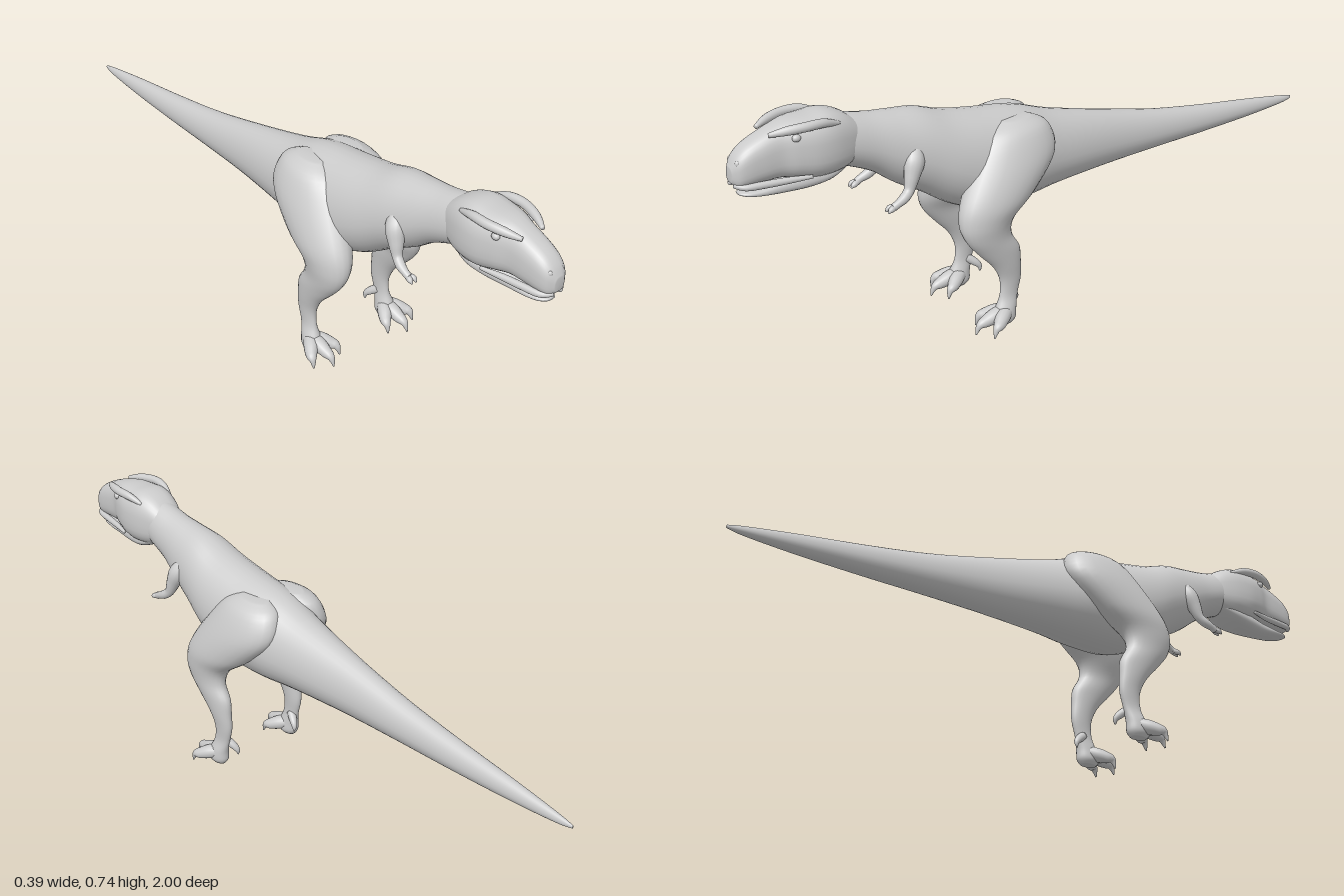
import * as THREE from 'three';

const V = (x, y, z) => new THREE.Vector3(x, y, z);
const material = new THREE.MeshStandardMaterial({ color: 0xcccccc });

// Smoothly resample a short table of cross-section rows.
function refine(rows, steps) {
  const out = [], at = i => rows[Math.max(0, Math.min(rows.length - 1, i))];
  for (let i = 0; i < rows.length - 1; i++) {
    for (let s = 0; s < steps; s++) {
      const t = s / steps;
      out.push(rows[i].map((b, k) => {
        const a = at(i - 1)[k], c = at(i + 1)[k], d = at(i + 2)[k];
        return b + 0.5 * t * (c - a + t * (2 * a - 5 * b + 4 * c - d + t * (3 * (b - c) + d - a)));
      }));
    }
  }
  out.push(rows[rows.length - 1]);
  return out;
}

// Skin a list of rings (equal numbers of points) and close both ends.
function skin(name, rings) {
  const n = rings[0].length, pos = [], idx = [];
  rings.forEach(r => r.forEach(p => pos.push(p.x, p.y, p.z)));
  for (let i = 0; i < rings.length - 1; i++) {
    for (let j = 0; j < n; j++) {
      const a = i * n + j, b = i * n + (j + 1) % n;
      idx.push(a, b, b + n, a, b + n, a + n);
    }
  }
  [0, rings.length - 1].forEach((e, k) => {
    const c = rings[e].reduce((s, p) => s.add(p), V(0, 0, 0)).divideScalar(n);
    const ci = pos.length / 3;
    pos.push(c.x, c.y, c.z);
    for (let j = 0; j < n; j++) {
      const a = e * n + j, b = e * n + (j + 1) % n;
      if (k) idx.push(a, b, ci); else idx.push(b, a, ci);
    }
  });
  const g = new THREE.BufferGeometry();
  g.setAttribute('position', new THREE.Float32BufferAttribute(pos, 3));
  g.setIndex(idx);
  g.computeVertexNormals();
  const mesh = new THREE.Mesh(g, material);
  mesh.name = name;
  return mesh;
}

const angles = n => Array.from({ length: n }, (_, j) => (j / n) * Math.PI * 2);
const pw = (v, p) => Math.sign(v) * Math.abs(v) ** p;

// Rows [z, top, bottom, halfWidth]; power under 1 squares the section.
function lengthwise(name, rows, power = 1, mid = 0.45) {
  return skin(name, refine(rows, 5).map(([z, top, bot, w]) => {
    const cy = bot + (top - bot) * mid;
    return angles(32).map(a => {
      const s = pw(Math.sin(a), power);
      return V(w * pw(Math.cos(a), power), cy + s * (s > 0 ? top - cy : cy - bot), z);
    });
  }));
}

// Rows [y, inner x, outer x, centre z, z radius], from the top down.
function upright(name, rows, side, dz) {
  return skin(name, refine(rows, 5).map(([y, xi, xo, z, rz]) => angles(24).map(a =>
    V(side * (xi + xo) / 2 + Math.cos(a) * (xo - xi) / 2, y, z + dz + Math.sin(a) * rz))));
}

// Rows [x, y, z, radius] along a free path.
function limb(name, rows, side, dz = 0) {
  const pts = refine(rows, 5).map(([x, y, z, r]) => ({ p: V(x * side, y, z + dz), r }));
  return skin(name, pts.map(({ p, r }, i) => {
    const t = pts[Math.min(i + 1, pts.length - 1)].p.clone().sub(pts[Math.max(i - 1, 0)].p).normalize();
    const u = V(1, 0, 0).addScaledVector(t, -t.x).normalize();
    const v = t.clone().cross(u);
    return angles(14).map(a => p.clone().addScaledVector(u, r * Math.cos(a)).addScaledVector(v, r * Math.sin(a)));
  }));
}

function ball(name, p, r) {
  const m = new THREE.Mesh(new THREE.SphereGeometry(1, 16, 12), material);
  m.name = name;
  m.position.set(...p);
  m.scale.set(...r);
  return m;
}

export function createModel() {
  const model = new THREE.Group();
  model.name = 'dinosaur';

  // Tail, torso and neck in one skin
  model.add(lengthwise('body', [
    [-1, 0.39, 0.381, 0.003], [-0.95, 0.4, 0.373, 0.011], [-0.8, 0.422, 0.364, 0.024],
    [-0.6, 0.448, 0.358, 0.037], [-0.4, 0.48, 0.355, 0.049], [-0.2, 0.525, 0.35, 0.065],
    [0, 0.575, 0.342, 0.094], [0.12, 0.615, 0.332, 0.116], [0.25, 0.635, 0.333, 0.122],
    [0.36, 0.655, 0.375, 0.116], [0.45, 0.684, 0.435, 0.1], [0.53, 0.695, 0.483, 0.083],
    [0.6, 0.704, 0.535, 0.069], [0.68, 0.72, 0.572, 0.062], [0.75, 0.72, 0.6, 0.05],
  ]));

  // Skull with broad cheeks and narrower snout, and the lower jaw
  const head = new THREE.Group();
  head.name = 'head';
  head.add(lengthwise('skull', [
    [0.63, 0.69, 0.61, 0.045], [0.68, 0.728, 0.58, 0.066], [0.73, 0.746, 0.57, 0.079],
    [0.78, 0.744, 0.572, 0.08], [0.83, 0.742, 0.583, 0.068], [0.87, 0.733, 0.59, 0.053],
    [0.92, 0.715, 0.59, 0.048], [0.96, 0.695, 0.588, 0.043], [0.985, 0.672, 0.59, 0.034],
    [1, 0.645, 0.605, 0.016],
  ], 0.75));
  head.add(lengthwise('lowerJaw', [
    [0.67, 0.62, 0.585, 0.042], [0.73, 0.605, 0.557, 0.056], [0.79, 0.6, 0.546, 0.052],
    [0.86, 0.588, 0.546, 0.04], [0.92, 0.578, 0.552, 0.035], [0.96, 0.575, 0.559, 0.028],
    [0.98, 0.572, 0.565, 0.013],
  ], 0.85));
  model.add(head);

  for (const side of [1, -1]) {
    // Brow, eye, nostril and lip
    head.add(limb('browRidge', [
      [0.036, 0.72, 0.9, 0.006], [0.055, 0.728, 0.86, 0.012], [0.068, 0.732, 0.81, 0.013],
      [0.066, 0.73, 0.76, 0.012], [0.055, 0.715, 0.71, 0.006],
    ], side));
    head.add(ball('eye', [side * 0.06, 0.705, 0.835], [0.01, 0.01, 0.012]));
    head.add(ball('nostril', [side * 0.022, 0.658, 0.982], [0.007, 0.009, 0.008]));
    head.add(limb('upperLip', [
      [0.012, 0.598, 0.993, 0.007], [0.034, 0.594, 0.97, 0.009], [0.043, 0.593, 0.92, 0.01],
      [0.052, 0.592, 0.86, 0.009], [0.066, 0.592, 0.8, 0.005],
    ], side));

    // Small arm with two fingers
    const arm = new THREE.Group();
    arm.name = side > 0 ? 'leftArm' : 'rightArm';
    arm.add(limb('armSkin', [
      [0.06, 0.6, 0.49, 0.02], [0.078, 0.563, 0.505, 0.029], [0.088, 0.525, 0.52, 0.022],
      [0.094, 0.492, 0.533, 0.015], [0.1, 0.475, 0.553, 0.014], [0.103, 0.465, 0.575, 0.011],
      [0.102, 0.458, 0.588, 0.011],
    ], side));
    for (const x of [0.094, 0.108]) {
      arm.add(limb('finger', [[0.101, 0.46, 0.58, 0.008], [x, 0.456, 0.598, 0.008],
        [x, 0.448, 0.608, 0.002]], side));
    }
    model.add(arm);

    // Thigh, shin and ankle; the right leg stands slightly further back
    const dz = side > 0 ? 0 : -0.02;
    const leg = new THREE.Group();
    leg.name = side > 0 ? 'leftLeg' : 'rightLeg';
    leg.add(upright('legSkin', [
      [0.605, 0.03, 0.085, 0.16, 0.05], [0.575, 0.01, 0.128, 0.165, 0.105], [0.5, 0.02, 0.162, 0.19, 0.137],
      [0.41, 0.05, 0.18, 0.26, 0.12], [0.35, 0.073, 0.177, 0.305, 0.088], [0.3, 0.095, 0.171, 0.305, 0.073],
      [0.25, 0.103, 0.166, 0.272, 0.066], [0.2, 0.11, 0.16, 0.247, 0.046], [0.15, 0.115, 0.153, 0.235, 0.035],
      [0.1, 0.118, 0.151, 0.242, 0.03], [0.06, 0.112, 0.162, 0.255, 0.034], [0.03, 0.11, 0.164, 0.26, 0.037],
      [0.014, 0.12, 0.154, 0.26, 0.027],
    ], side, dz));
    // Three splayed toes ending in claws, and a dewclaw behind
    for (const [x, z] of [[0.09, 0.325], [0.137, 0.355], [0.185, 0.325]]) {
      const m = f => 0.137 + (x - 0.137) * f, k = f => 0.25 + (z - 0.25) * f;
      leg.add(limb('toe', [
        [0.137, 0.055, 0.25, 0.02], [m(0.45), 0.045, k(0.4), 0.022], [m(0.8), 0.037, k(0.68), 0.018],
        [m(0.95), 0.033, k(0.84), 0.014], [m(1), 0.025, k(0.94), 0.009], [m(1.05), 0.004, k(1.03), 0.002],
      ], side, dz));
    }
    leg.add(limb('dewclaw', [
      [0.128, 0.1, 0.235, 0.014], [0.116, 0.083, 0.212, 0.012], [0.11, 0.068, 0.2, 0.008],
      [0.108, 0.052, 0.2, 0.002],
    ], side, dz));
    model.add(leg);
  }
  return model;
}
